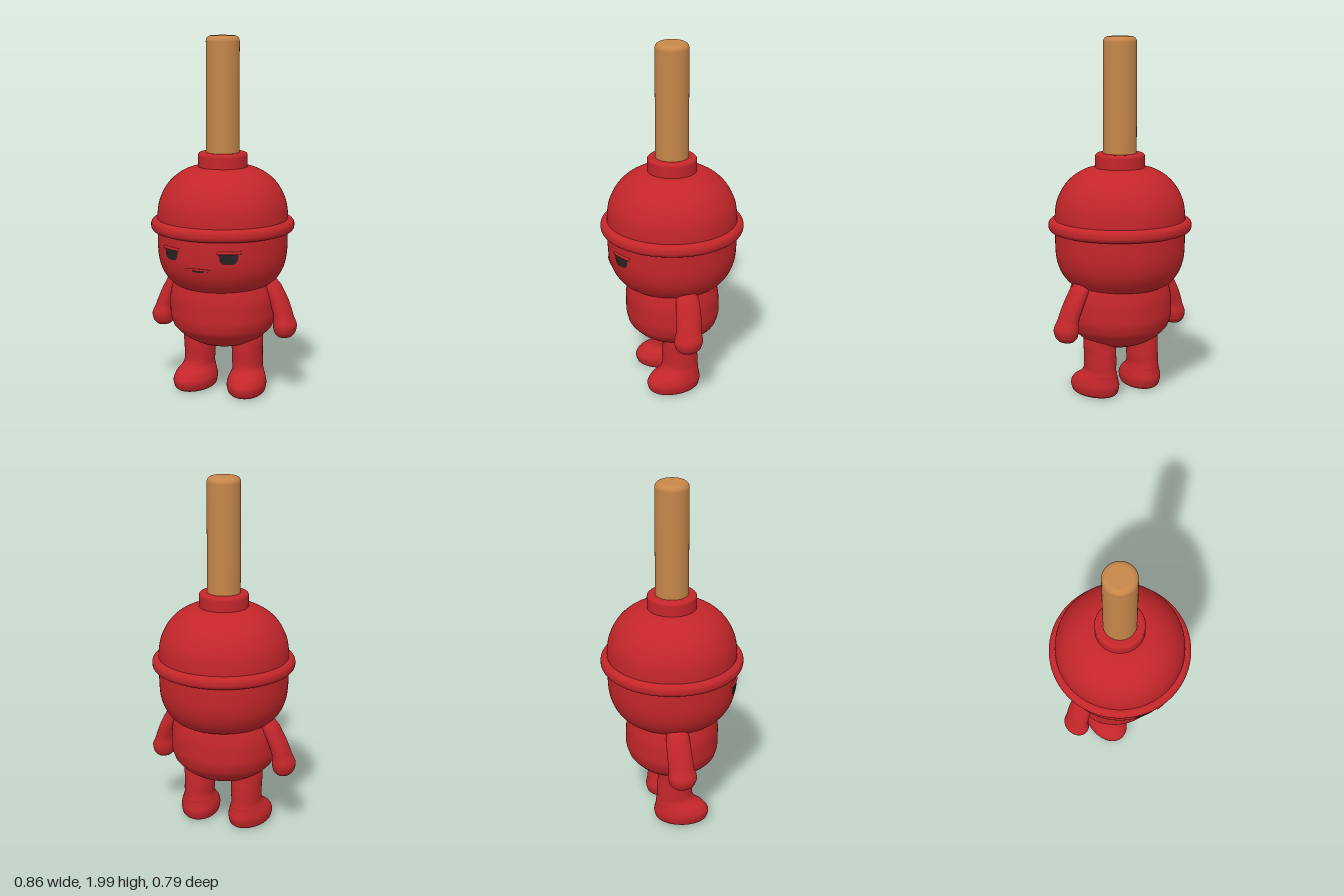
import * as THREE from 'three';

const red = new THREE.MeshStandardMaterial({ color: 0xc4262a });
red.name = 'rubber red';
const wood = new THREE.MeshStandardMaterial({ color: 0xc68649 });
wood.name = 'handle wood';
const dark = new THREE.MeshStandardMaterial({ color: 0x2a2222 });
dark.name = 'eye black';

const mesh = (name, geometry, material = red) => {
  const m = new THREE.Mesh(geometry, material);
  m.name = name;
  return m;
};

// Smooth skin through horizontal ellipses, bottom to top: [y, cx, cz, rx, rz, yaw]
function loft(sections, side = 1, around = 40, along = 48) {
  const centre = new THREE.CatmullRomCurve3(sections.map(s => new THREE.Vector3(s[1] * side, s[0], s[2])));
  const size = new THREE.CatmullRomCurve3(sections.map(s => new THREE.Vector3(s[3], (s[5] || 0) * side, s[4])));
  const pos = [], idx = [];
  for (let i = 0; i <= along; i++) {
    const c = centre.getPoint(i / along), r = size.getPoint(i / along);
    const cos = Math.cos(r.y), sin = Math.sin(r.y);
    for (let j = 0; j < around; j++) {
      const a = j / around * Math.PI * 2;
      const x = r.x * Math.sin(a), z = r.z * Math.cos(a);
      pos.push(c.x + x * cos + z * sin, c.y, c.z - x * sin + z * cos);
      if (i < along) {
        const p = i * around + j, q = i * around + (j + 1) % around;
        idx.push(p, q, p + around, q, q + around, p + around);
      }
    }
  }
  const g = new THREE.BufferGeometry();
  g.setAttribute('position', new THREE.Float32BufferAttribute(pos, 3));
  g.setIndex(idx);
  g.computeVertexNormals();
  return g;
}

const vec2 = list => list.map(([r, y]) => new THREE.Vector2(r, y));
const smooth = (list, n = 40) => new THREE.SplineCurve(vec2(list)).getPoints(n);
const lathe = points => new THREE.LatheGeometry(points, 72);

// Round disc or post with rounded rims
function roundedDisc(radius, bottom, top, bevel) {
  const pts = [[0, bottom]];
  for (let i = 0; i <= 8; i++) {
    const a = -Math.PI / 2 + i / 8 * Math.PI / 2;
    pts.push([radius - bevel + bevel * Math.cos(a), bottom + bevel + bevel * Math.sin(a)]);
  }
  for (let i = 0; i <= 8; i++) {
    const a = i / 8 * Math.PI / 2;
    pts.push([radius - bevel + bevel * Math.cos(a), top - bevel + bevel * Math.sin(a)]);
  }
  pts.push([0, top]);
  return lathe(vec2(pts));
}

const headProfile = smooth([[0.2, 0.61], [0.265, 0.635], [0.305, 0.67], [0.336, 0.72],
  [0.354, 0.78], [0.36, 0.85], [0.36, 0.95]], 48);

// Depth of the face surface at a given x and y
function faceZ(x, y) {
  const i = Math.max(1, headProfile.findIndex(p => p.y >= y));
  const a = headProfile[i - 1], b = headProfile[i];
  const r = a.x + (b.x - a.x) * (y - a.y) / (b.y - a.y);
  return Math.sqrt(r * r - x * x);
}

// Thin patch hugging the face: flat top edge, rounded lower edge
function facePatch(cx, top, width, height) {
  const g = new THREE.PlaneGeometry(2, 1, 20, 8);
  const p = g.attributes.position;
  for (let i = 0; i < p.count; i++) {
    const u = p.getX(i), v = 0.5 - p.getY(i);
    const x = cx + u * width / 2;
    const y = top - v * height * Math.sqrt(Math.max(0, 1 - u * u * u * u));
    p.setXYZ(i, x, y, faceZ(x, y) + 0.004);
  }
  g.computeVertexNormals();
  return g;
}

// Thin raised line across the face
function faceLine(cx, y, width, radius, bend = 0) {
  const pts = [];
  for (let i = 0; i <= 8; i++) {
    const u = i / 4 - 1, x = cx + u * width / 2, yy = y - bend * u * u;
    pts.push(new THREE.Vector3(x, yy, faceZ(x, yy)));
  }
  return new THREE.TubeGeometry(new THREE.CatmullRomCurve3(pts), 20, radius, 8);
}

export function createModel() {
  const model = new THREE.Group();
  model.name = 'plungerFigure';

  // Head and plunger cup
  model.add(mesh('head', lathe(headProfile)));
  model.add(mesh('cupDome', lathe(smooth([[0.362, 0.97], [0.36, 1.04], [0.346, 1.11], [0.307, 1.185],
    [0.252, 1.24], [0.18, 1.278], [0.1, 1.29]]))));
  model.add(mesh('cupRim', roundedDisc(0.397, 0.93, 1.0, 0.03)));
  model.add(mesh('collar', roundedDisc(0.137, 1.25, 1.365, 0.018)));
  model.add(mesh('handle', roundedDisc(0.092, 1.3, 2.0, 0.03), wood));

  // Torso
  model.add(mesh('torso', loft([
    [0.28, 0, 0, 0.001, 0.001], [0.284, 0, 0, 0.1, 0.09], [0.305, 0, 0, 0.165, 0.15],
    [0.34, 0, 0, 0.225, 0.205], [0.39, 0, 0, 0.278, 0.248], [0.46, 0, -0.002, 0.3, 0.262],
    [0.55, 0, 0, 0.3, 0.26], [0.62, 0, 0.002, 0.286, 0.247], [0.69, 0, 0.004, 0.26, 0.225],
  ], 1, 64)));

  // Limbs and eyes, mirrored
  for (const [side, label] of [[1, 'left'], [-1, 'right']]) {
    model.add(mesh(label + 'Arm', loft([
      [0.348, 0.368, -0.01, 0.001, 0.001], [0.356, 0.368, -0.01, 0.036, 0.045],
      [0.38, 0.368, -0.01, 0.057, 0.07], [0.42, 0.368, -0.01, 0.064, 0.08],
      [0.47, 0.358, -0.014, 0.053, 0.071], [0.55, 0.33, -0.02, 0.051, 0.069],
      [0.63, 0.29, -0.022, 0.05, 0.064], [0.675, 0.267, -0.022, 0.034, 0.045],
      [0.69, 0.26, -0.022, 0.001, 0.001],
    ], side)));

    model.add(mesh(label + 'Leg', loft([
      [0.01, 0.155, 0.025, 0.001, 0.001, 0.2], [0.012, 0.155, 0.025, 0.08, 0.12, 0.2],
      [0.03, 0.155, 0.025, 0.102, 0.146, 0.2], [0.07, 0.155, 0.025, 0.11, 0.156, 0.2],
      [0.11, 0.154, 0.016, 0.102, 0.14, 0.2], [0.14, 0.15, -0.005, 0.089, 0.115, 0.15],
      [0.18, 0.146, -0.013, 0.084, 0.101], [0.27, 0.145, -0.01, 0.085, 0.1],
      [0.36, 0.145, -0.008, 0.085, 0.1],
    ], side)));

    model.add(mesh(label + 'Eye', facePatch(side * 0.166, 0.866, 0.095, 0.056), dark));
    model.add(mesh(label + 'Eyelid', faceLine(side * 0.166, 0.872, 0.115, 0.008)));
  }

  // Mouth
  model.add(mesh('lip', faceLine(0, 0.775, 0.14, 0.006, 0.004)));
  model.add(mesh('mouth', facePatch(0.003, 0.77, 0.07, 0.01), dark));
  return model;
}
